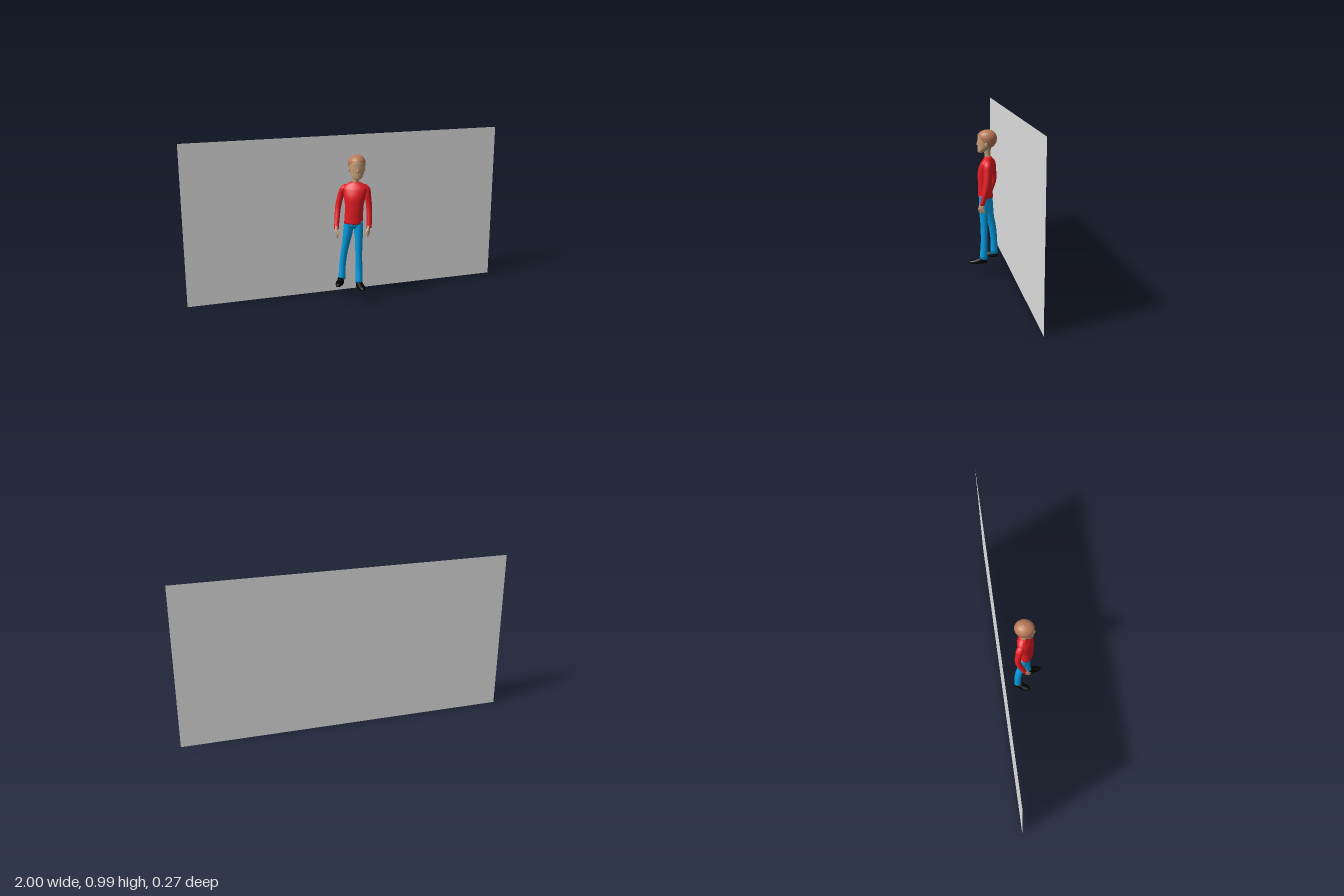
import * as THREE from 'three';

const mat = (name, color, side = THREE.FrontSide) => {
  const m = new THREE.MeshStandardMaterial({ color, side });
  m.name = name;
  return m;
};

// Smooth body lofted through horizontal elliptical rings.
// Each section is [x, y, z, rx, rz]; yaw turns the ellipses about y.
// pick(x, y, z), if given, chooses the material index of each face.
function loft(sections, { yaw = 0, seg = 20, steps = 20, pick = null } = {}) {
  const centre = new THREE.CatmullRomCurve3(sections.map(s => new THREE.Vector3(s[0], s[1], s[2])));
  const radius = new THREE.CatmullRomCurve3(sections.map(s => new THREE.Vector3(s[3], s[4], 0)));
  const c = Math.cos(yaw), s = Math.sin(yaw);
  const pos = [], faces = [[], []];
  for (let i = 0; i <= steps; i++) {
    const p = centre.getPoint(i / steps), r = radius.getPoint(i / steps);
    for (let j = 0; j < seg; j++) {
      const a = (j / seg) * Math.PI * 2;
      const u = Math.max(r.x, 0.001) * Math.sin(a), w = Math.max(r.y, 0.001) * Math.cos(a);
      pos.push(p.x + u * c + w * s, p.y, p.z - u * s + w * c);
    }
  }
  const first = sections[0], last = sections[sections.length - 1];
  const bottom = pos.length / 3;
  pos.push(first[0], first[1], first[2], last[0], last[1], last[2]);
  const add = (...t) => {
    const mid = k => t.reduce((sum, v) => sum + pos[v * 3 + k], 0) / t.length;
    const list = faces[pick ? pick(mid(0), mid(1), mid(2)) : 0];
    list.push(t[0], t[1], t[2]);
    if (t.length === 4) list.push(t[0], t[2], t[3]);
  };
  for (let j = 0; j < seg; j++) {
    const k = (j + 1) % seg, top = steps * seg;
    for (let i = 0; i < steps; i++) add(i * seg + j, i * seg + k, (i + 1) * seg + k, (i + 1) * seg + j);
    add(bottom, k, j);
    add(bottom + 1, top + j, top + k);
  }
  const g = new THREE.BufferGeometry();
  g.setAttribute('position', new THREE.Float32BufferAttribute(pos, 3));
  g.setIndex([...faces[0], ...faces[1]]);
  g.addGroup(0, faces[0].length, 0);
  if (pick) g.addGroup(faces[0].length, faces[1].length, 1);
  g.computeVertexNormals();
  return g;
}

export function createModel() {
  const model = new THREE.Group();
  model.name = 'standingFigure';
  const skin = mat('skin', 0xc8a07a), hair = mat('hair', 0xb97a57);
  const red = mat('redShirt', 0xed1c24), blue = mat('blueTrousers', 0x00a2e8);
  const black = mat('blackShoes', 0x000000);
  const grey = mat('greyPanel', 0xe1e1e1, THREE.DoubleSide);
  const add = (name, geometry, material, parent = model) => {
    const m = new THREE.Mesh(geometry, material);
    m.name = name;
    parent.add(m);
    return m;
  };

  // Upright sheet behind the figure
  add('backPanel', new THREE.PlaneGeometry(2, 0.992), grey).position.set(0, 0.496, -0.134);

  // Shirt body, turned slightly to the figure's right
  const turn = -0.4;
  add('shirt', loft([
    [-0.005, 0.485, 0.026, 0.057, 0.044],
    [-0.004, 0.53, 0.029, 0.055, 0.042],
    [-0.002, 0.59, 0.031, 0.056, 0.042],
    [0.002, 0.65, 0.026, 0.065, 0.046],
    [0.007, 0.695, 0.018, 0.071, 0.04],
    [0.01, 0.718, 0.014, 0.056, 0.029],
    [0.011, 0.735, 0.014, 0.026, 0.02],
  ], { yaw: turn, seg: 32, steps: 30 }), red);

  // Sleeves
  add('rightSleeve', loft([
    [-0.107, 0.452, 0.008, 0.014, 0.015],
    [-0.096, 0.51, -0.014, 0.016, 0.017],
    [-0.083, 0.58, -0.032, 0.018, 0.018],
    [-0.068, 0.65, -0.026, 0.02, 0.019],
    [-0.056, 0.69, -0.018, 0.022, 0.022],
    [-0.045, 0.715, -0.01, 0.012, 0.014],
  ], { yaw: turn }), red);
  add('leftSleeve', loft([
    [0.083, 0.455, 0.058, 0.015, 0.014],
    [0.089, 0.51, 0.045, 0.017, 0.018],
    [0.091, 0.585, 0.032, 0.018, 0.021],
    [0.084, 0.65, 0.028, 0.02, 0.024],
    [0.076, 0.69, 0.026, 0.023, 0.024],
    [0.064, 0.717, 0.024, 0.013, 0.014],
  ], { yaw: turn }), red);

  // Hands: palm, four spread fingers and a thumb
  const hand = (name, x, y, z, yaw, side) => {
    const g = new THREE.Group();
    g.name = name;
    add('palm', loft([
      [0, -0.036, 0.002, 0.006, 0.016], [0, -0.02, 0.002, 0.009, 0.019],
      [0, -0.005, 0, 0.009, 0.014], [0, 0.01, -0.002, 0.009, 0.01],
    ], { seg: 14, steps: 10 }), skin, g);
    for (let i = 0; i < 4; i++) {
      const f = -0.014 + i * 0.0095, tip = -0.053 - (i === 1 || i === 2 ? 0.006 : 0);
      add('finger', loft([
        [-side * 0.006, tip, f * 1.3, 0.002, 0.002], [-side * 0.004, tip + 0.006, f * 1.22, 0.0042, 0.0042],
        [0, -0.028, f, 0.005, 0.005],
      ], { seg: 8, steps: 6 }), skin, g);
    }
    add('thumb', loft([
      [-side * 0.01, -0.038, 0.026, 0.002, 0.002], [-side * 0.008, -0.03, 0.023, 0.005, 0.005],
      [-side * 0.002, -0.008, 0.01, 0.006, 0.006],
    ], { seg: 8, steps: 6 }), skin, g);
    g.position.set(x, y, z);
    g.rotation.y = yaw;
    model.add(g);
  };
  hand('rightHand', -0.109, 0.457, 0.015, -0.35, -1);
  hand('leftHand', 0.079, 0.459, 0.062, -0.65, 1);

  // Trousers
  add('rightTrouserLeg', loft([
    [-0.062, 0.112, -0.032, 0.021, 0.023],
    [-0.058, 0.2, -0.031, 0.02, 0.021],
    [-0.05, 0.29, -0.02, 0.021, 0.023],
    [-0.042, 0.36, -0.003, 0.024, 0.026],
    [-0.033, 0.44, 0.009, 0.03, 0.031],
    [-0.028, 0.5, 0.016, 0.03, 0.033],
  ]), blue);
  add('leftTrouserLeg', loft([
    [0.025, 0.102, 0.044, 0.021, 0.025],
    [0.026, 0.2, 0.04, 0.02, 0.021],
    [0.024, 0.3, 0.04, 0.021, 0.021],
    [0.024, 0.38, 0.041, 0.023, 0.026],
    [0.022, 0.45, 0.039, 0.028, 0.031],
    [0.02, 0.5, 0.036, 0.029, 0.033],
  ]), blue);
  add('trouserSeat', loft([
    [-0.004, 0.452, 0.025, 0.025, 0.024], [-0.005, 0.475, 0.026, 0.05, 0.04], [-0.005, 0.5, 0.027, 0.053, 0.041],
  ], { yaw: turn, seg: 28, steps: 10 }), blue);

  // Shoes, toe along local +z
  const shoe = (name, x, y, z, yaw) => {
    const m = add(name, loft([
      [0, 0, 0, 0.021, 0.055],
      [0, 0.007, 0, 0.023, 0.057],
      [0, 0.015, -0.002, 0.022, 0.053],
      [0, 0.024, -0.015, 0.019, 0.037],
      [0, 0.034, -0.03, 0.018, 0.022],
    ], { seg: 24, steps: 14 }), black);
    m.position.set(x, y, z);
    m.rotation.y = yaw;
  };
  shoe('rightShoe', -0.083, 0.09, -0.004, -0.55);
  shoe('leftShoe', 0.025, 0.08, 0.077, 0.03);

  // Neck
  add('neck', loft([
    [0.011, 0.72, 0.014, 0.021, 0.019], [0.011, 0.75, 0.018, 0.019, 0.018], [0.015, 0.8, 0.018, 0.023, 0.024],
  ]), skin);

  // Head: face and short hair share one surface, split along a sloping hairline
  const head = new THREE.Group();
  head.name = 'head';
  const isHair = (x, y, z) => (y > 0.81 + 1.1 * z ? 1 : 0);
  add('faceAndHair', loft([
    [0, 0.759, 0.037, 0.012, 0.01],
    [0, 0.763, 0.036, 0.023, 0.018],
    [0, 0.778, 0.026, 0.035, 0.03],
    [0, 0.8, 0.009, 0.043, 0.048],
    [0, 0.825, 0.001, 0.049, 0.057],
    [0, 0.85, -0.001, 0.052, 0.058],
    [0, 0.87, 0, 0.048, 0.054],
    [0, 0.885, -0.001, 0.036, 0.041],
    [0, 0.894, -0.003, 0.022, 0.026],
    [0, 0.899, -0.004, 0.003, 0.003],
  ], { seg: 64, steps: 64, pick: isHair }), [skin, hair], head);
  add('nose', loft([
    [0, 0.8, 0.05, 0.005, 0.006], [0, 0.808, 0.053, 0.008, 0.011],
    [0, 0.824, 0.051, 0.006, 0.009], [0, 0.845, 0.047, 0.004, 0.007],
  ], { seg: 12, steps: 10 }), skin, head);
  for (const side of [-1, 1]) {
    const ear = add(side > 0 ? 'leftEar' : 'rightEar', new THREE.SphereGeometry(1, 14, 10), skin, head);
    ear.scale.set(0.005, 0.016, 0.011);
    ear.position.set(side * 0.046, 0.813, 0);
    ear.rotation.y = side * 0.25;
  }
  head.position.set(0.0175, 0, 0.021);
  head.rotation.y = -0.22;
  model.add(head);

  return model;
}
